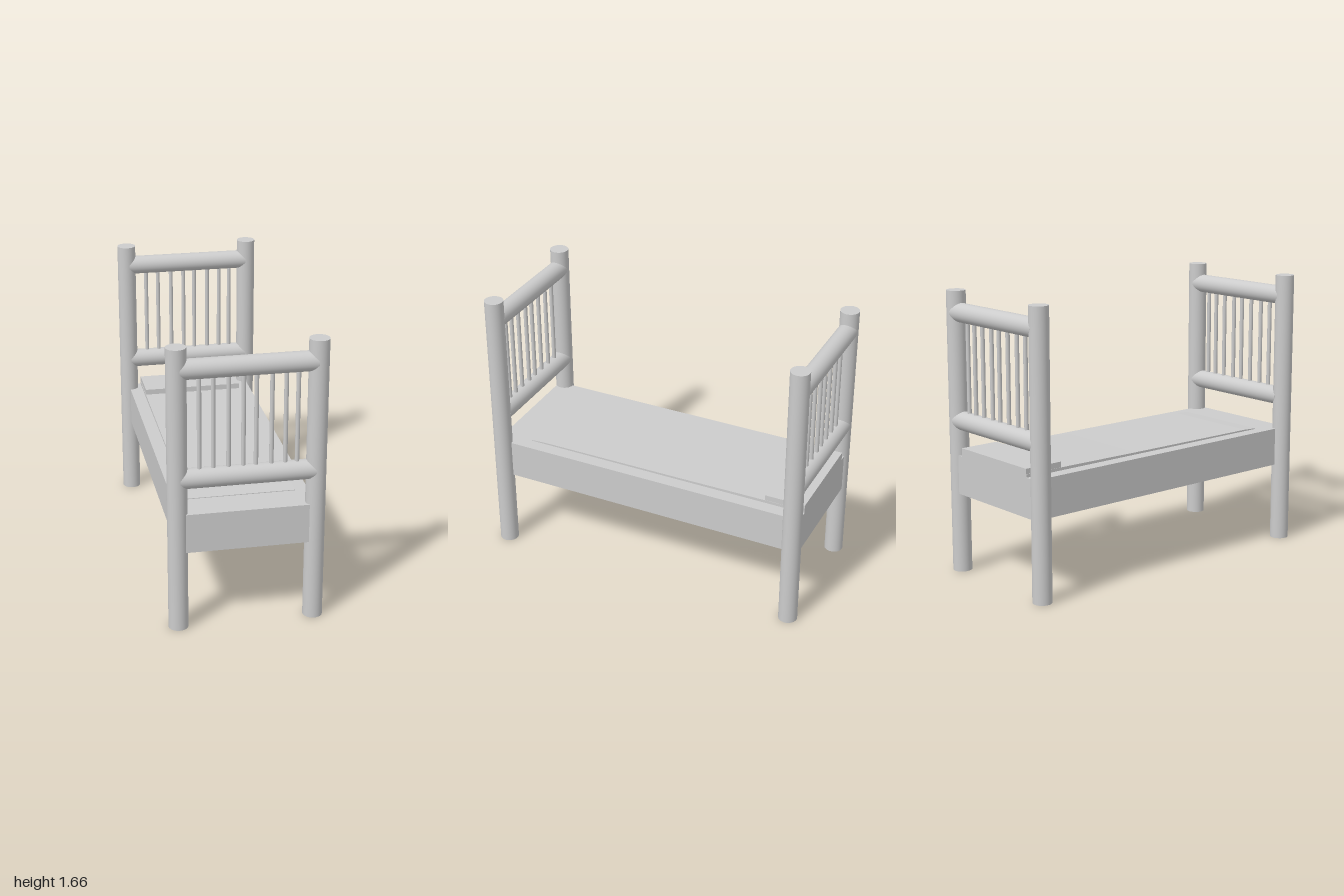
import * as THREE from 'three';

const POST_X = 0.385, POST_Z = 0.944, RADIUS = 0.056, HEIGHT = 1.66;
const RAIL_Y = [0.905, 1.534];
const SPINDLE_X = [-0.263, -0.187, -0.103, -0.022, 0.048, 0.133, 0.21, 0.276];

export function createModel() {
  const model = new THREE.Group();
  model.name = 'bed';
  const material = new THREE.MeshStandardMaterial({ color: 0xcccccc });

  const add = (parent, name, geometry, x, y, z) => {
    const mesh = new THREE.Mesh(geometry, material);
    mesh.name = name;
    mesh.position.set(x, y, z);
    parent.add(mesh);
    return mesh;
  };

  // Two matching end frames: posts, round rails and thin spindles
  const postGeometry = new THREE.CylinderGeometry(RADIUS, RADIUS, HEIGHT, 40);
  const railGeometry = new THREE.CylinderGeometry(RADIUS, RADIUS, 2 * POST_X - 0.02, 40).rotateZ(Math.PI / 2);
  const spindleGeometry = new THREE.CylinderGeometry(0.0125, 0.0125, RAIL_Y[1] - RAIL_Y[0], 16);
  for (const [name, z] of [['headboard', -POST_Z], ['footboard', POST_Z]]) {
    const end = new THREE.Group();
    end.name = name;
    end.position.z = z;
    model.add(end);
    for (const side of [-1, 1]) add(end, 'post', postGeometry, side * POST_X, HEIGHT / 2, 0);
    for (const y of RAIL_Y) add(end, 'rail', railGeometry, 0, y, 0);
    for (const x of SPINDLE_X) add(end, 'spindle', spindleGeometry, x, (RAIL_Y[0] + RAIL_Y[1]) / 2, 0);
  }

  // Solid bed base running between the posts
  add(model, 'base', new THREE.BoxGeometry(2 * POST_X, 0.23, 1.966), 0, 0.59, 0);

  // Blanket: a thin slab that rises gently toward the head (profile in z, y)
  const profile = new THREE.Shape([
    [-0.98, 0.69], [0.79, 0.69], [0.79, 0.709], [0.7, 0.714], [-0.2, 0.718], [-0.98, 0.724],
  ].map(([z, y]) => new THREE.Vector2(z, y)));
  const blanket = new THREE.ExtrudeGeometry(profile, { depth: 0.614, bevelEnabled: false });
  blanket.translate(0, 0, -0.307).rotateY(-Math.PI / 2);
  add(model, 'blanket', blanket, 0, 0, 0);

  // Pillow slab at the head end
  add(model, 'pillow', new THREE.BoxGeometry(0.61, 0.055, 0.243), 0, 0.7275, -0.8615);

  return model;
}
